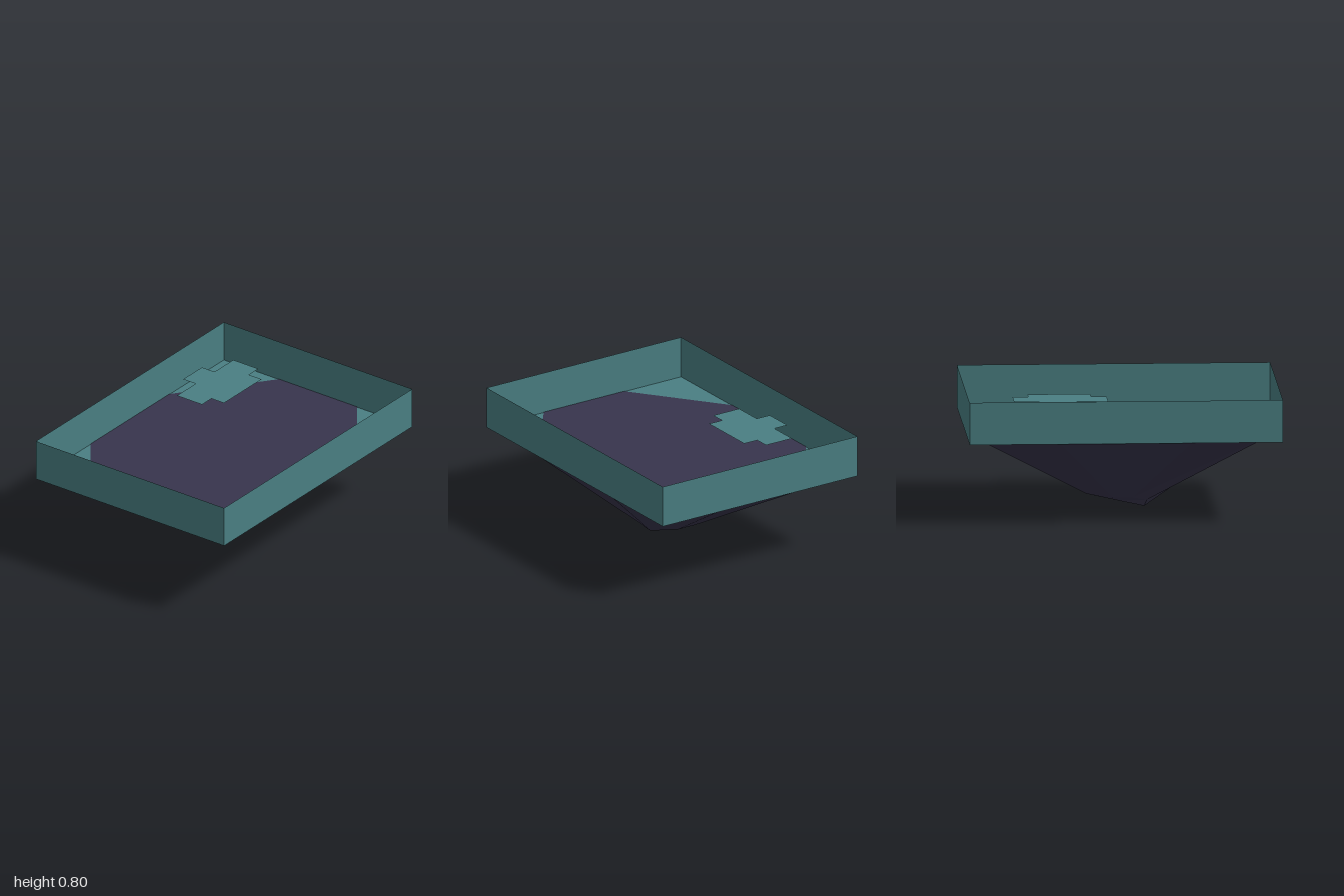
import * as THREE from 'three';

const FLOOR = 0.527, TOP = 0.8;

export function createModel() {
  const group = new THREE.Group();
  const teal = new THREE.MeshStandardMaterial({ color: 0x4a7f83, side: THREE.DoubleSide });
  teal.name = 'teal';
  const slate = new THREE.MeshStandardMaterial({ color: 0x38354d, flatShading: true, side: THREE.DoubleSide });
  slate.name = 'dark slate';

  const add = (name, geometry, material, x = 0, y = 0, z = 0) => {
    const mesh = new THREE.Mesh(geometry, material);
    mesh.name = name;
    mesh.position.set(x, y, z);
    group.add(mesh);
    return mesh;
  };

  // Open tray: a flat floor and four sheet walls
  add('trayFloor', new THREE.PlaneGeometry(2, 1.5).rotateX(-Math.PI / 2), teal, 0, FLOOR, 0);
  const h = TOP - FLOOR, mid = (TOP + FLOOR) / 2;
  for (const s of [1, -1]) {
    const turn = s > 0 ? 0 : Math.PI;
    add(s > 0 ? 'frontWall' : 'backWall', new THREE.PlaneGeometry(2, h).rotateY(turn), teal, 0, mid, s * 0.75);
    add(s > 0 ? 'leftWall' : 'rightWall', new THREE.PlaneGeometry(1.5, h).rotateY(Math.PI / 2 + turn), teal, s, mid, 0);
  }

  // Flat stepped cloud floating just under the rim
  const outline = [
    [0.3, -0.55], [0.5, -0.55], [0.5, -0.45], [0.7, -0.45], [0.7, -0.25], [0.6, -0.25],
    [0.6, -0.15], [0.2, -0.15], [0.2, -0.25], [0.1, -0.25], [0.1, -0.45], [0.3, -0.45],
  ];
  const cloud = new THREE.Shape(outline.map(([x, z]) => new THREE.Vector2(x, -z)));
  add('cloud', new THREE.ShapeGeometry(cloud).rotateX(-Math.PI / 2), teal, 0, 0.753, 0);

  // Rock: an octagonal top tapering to a small uneven tip
  const rimY = FLOOR + 0.003;
  const rim = [
    [1, 0.31], [0.42, 0.75], [-0.42, 0.75], [-1, 0.31],
    [-1, -0.31], [-0.42, -0.75], [0.42, -0.75], [1, -0.31],
  ].map(([x, z]) => [x, rimY, z]);
  const tip = [
    [0.22, 0.09, 0.1], [0.05, 0.045, 0.2], [-0.11, 0.025, 0.16], [-0.155, 0, 0.015],
    [-0.17, 0.045, -0.02], [-0.077, 0.07, -0.08], [0.05, 0.072, -0.08], [0.22, 0.09, -0.03],
  ];
  const topCentre = [0, rimY, 0], tipCentre = [0, 0.036, 0];
  const corners = [];
  for (let i = 0; i < 8; i++) {
    const j = (i + 1) % 8;
    corners.push(topCentre, rim[j], rim[i]);
    corners.push(rim[i], rim[j], tip[j], rim[i], tip[j], tip[i]);
    corners.push(tipCentre, tip[i], tip[j]);
  }
  const rock = new THREE.BufferGeometry();
  rock.setAttribute('position', new THREE.Float32BufferAttribute(corners.flat(), 3));
  rock.computeVertexNormals();
  add('rock', rock, slate);

  return group;
}
